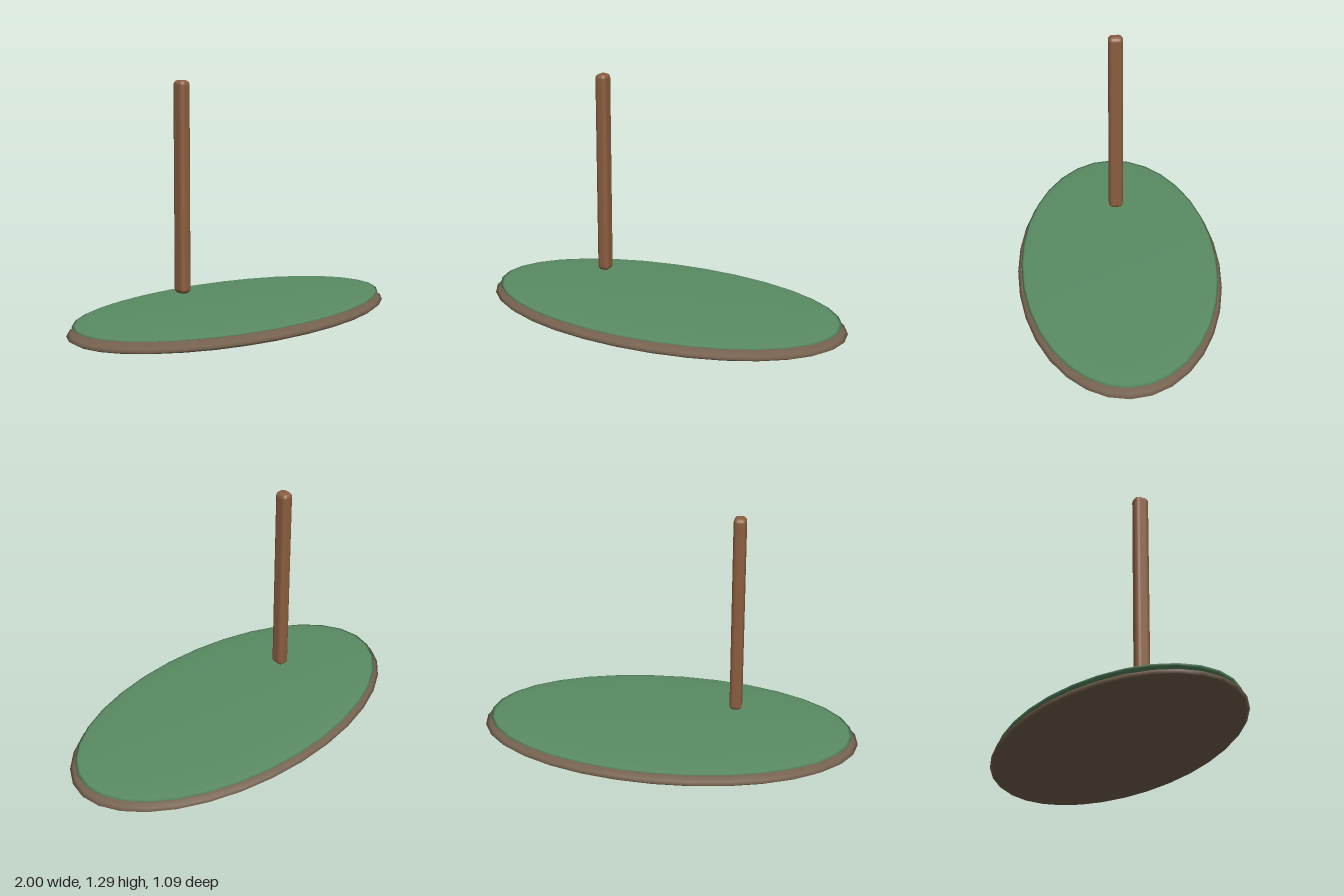
import * as THREE from 'three';
import { RoundedBoxGeometry } from 'three/addons/geometries/RoundedBoxGeometry.js';

function material(name, color) {
  const m = new THREE.MeshStandardMaterial({ color });
  m.name = name;
  return m;
}

export function createModel() {
  const group = new THREE.Group();
  const earth = material('earth brown', 0x75614e);
  const grass = material('grass green', 0x5a8c64);
  const wood = material('wood brown', 0x8b5e3f);

  // Flattened oval disc with radii rx, ry, rz centred at height y
  function disc(name, mat, rx, ry, rz, y) {
    const geometry = new THREE.SphereGeometry(1, 32, 16);
    geometry.scale(rx, ry, rz);
    const mesh = new THREE.Mesh(geometry, mat);
    mesh.name = name;
    mesh.position.y = y;
    group.add(mesh);
  }

  disc('groundBase', earth, 1, 0.058, 0.545, 0.058);
  disc('grassTop', grass, 0.97, 0.019, 0.525, 0.102);

  // Upright post hovering over the grass, with rounded edges
  const post = new THREE.Mesh(new RoundedBoxGeometry(0.064, 1.065, 0.077, 4, 0.024), wood);
  post.name = 'post';
  post.position.set(-0.354, 0.753, 0);
  group.add(post);

  return group;
}
